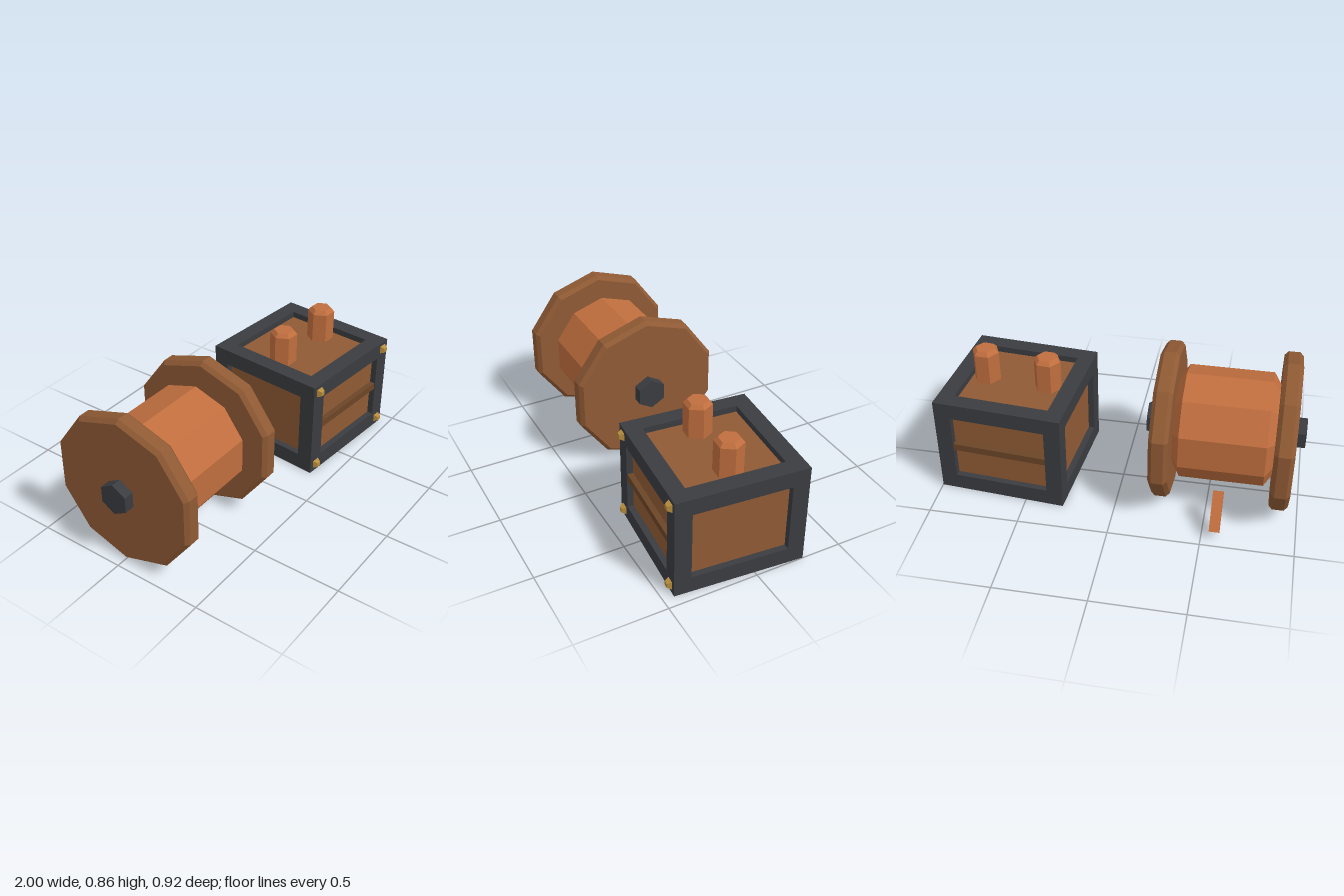
import * as THREE from 'three';

const mat = (color) => new THREE.MeshStandardMaterial({ color, flatShading: true });
const wood = mat(0x8f5a34), rope = mat(0xc06e3e), darkWood = mat(0x6b4527);
const iron = mat(0x3a3c40), brass = mat(0xb88d3c);

function add(parent, name, geometry, material, x = 0, y = 0, z = 0) {
  const mesh = new THREE.Mesh(geometry, material);
  mesh.name = name;
  mesh.position.set(x, y, z);
  parent.add(mesh);
  return mesh;
}

const box = (w, h, d) => new THREE.BoxGeometry(w, h, d);

// Faceted solid of revolution about y; profile runs bottom to top as [radius, y]
function turned(profile, sides, start = Math.PI / 2) {
  const points = profile.map(([r, y]) => new THREE.Vector2(r, y));
  const geometry = new THREE.LatheGeometry(points, sides, start).toNonIndexed();
  geometry.computeVertexNormals();
  return geometry;
}

// Closed prism with chamfered ends
function chamfered(radius, length, inset, bevel, sides) {
  const h = length / 2;
  return turned([[0, -h], [radius - inset, -h], [radius, -h + bevel],
    [radius, h - bevel], [radius - inset, h], [0, h]], sides);
}

function createSpool() {
  const spool = new THREE.Group();
  spool.name = 'spool';
  spool.position.set(-0.57, 0.432, 0.008);

  // Drum, flanges and axle lie along x
  const roller = new THREE.Group();
  roller.name = 'roller';
  roller.rotation.z = -Math.PI / 2;
  spool.add(roller);
  add(roller, 'woundRope', chamfered(0.31, 0.54, 0.06, 0.04, 10), rope);
  for (const s of [-1, 1]) {
    add(roller, 'flange', chamfered(0.431, 0.104, 0.021, 0.021, 10), wood, 0, s * 0.322, 0);
  }
  add(roller, 'axle', turned([[0, -0.43], [0.088, -0.43], [0.088, 0.43], [0, 0.43]], 6), iron);

  // Loose rope end behind the drum
  const tail = add(spool, 'ropeEnd', box(0.056, 0.22, 0.06), rope, 0, -0.306, -0.373);
  tail.rotation.x = 0.732;
  return spool;
}

function createCrate() {
  const crate = new THREE.Group();
  crate.name = 'crate';
  crate.position.set(0.612, 0, 0.053);
  crate.rotation.y = -0.0815;

  const size = 0.717, height = 0.575, bar = 0.092, recess = 0.035;
  const off = (size - bar) / 2, inner = size - 2 * bar;

  // Recessed panels on all six sides
  add(crate, 'panels', box(size - 2 * recess, height - 2 * recess, size - 2 * recess),
    wood, 0, height / 2, 0);

  // Iron frame: posts, then top and bottom rails
  for (const a of [-1, 1]) {
    for (const b of [-1, 1]) {
      add(crate, 'cornerPost', box(bar, height, bar), iron, a * off, height / 2, b * off);
      const y = height / 2 + a * (height - bar) / 2;
      add(crate, 'crossRail', box(inner, bar, bar), iron, 0, y, b * off);
      add(crate, 'sideRail', box(bar, bar, inner), iron, b * off, y, 0);
    }
  }

  // Slats across front and back
  for (const s of [-1, 1]) {
    add(crate, 'slat', box(inner, 0.04, 0.04), darkWood, 0, 0.288, s * (size / 2 - 0.024));
  }

  // Tapered studs on the front corners
  const stud = turned([[0.032, 0], [0.018, 0.024], [0, 0.024]], 4, Math.PI / 4);
  stud.rotateX(Math.PI / 2);
  for (const x of [-0.311, 0.311]) {
    for (const y of [0.047, 0.53]) add(crate, 'stud', stud, brass, x, y, size / 2);
  }

  // Hexagonal knobs on the lid
  const knob = turned([[0, 0], [0.077, 0], [0.077, 0.18], [0.056, 0.202], [0, 0.202]], 6);
  for (const x of [-0.179, 0.179]) add(crate, 'knob', knob, rope, x, 0.534, 0);
  return crate;
}

export function createModel() {
  const model = new THREE.Group();
  model.name = 'spoolAndCrate';
  model.add(createSpool(), createCrate());
  return model;
}
